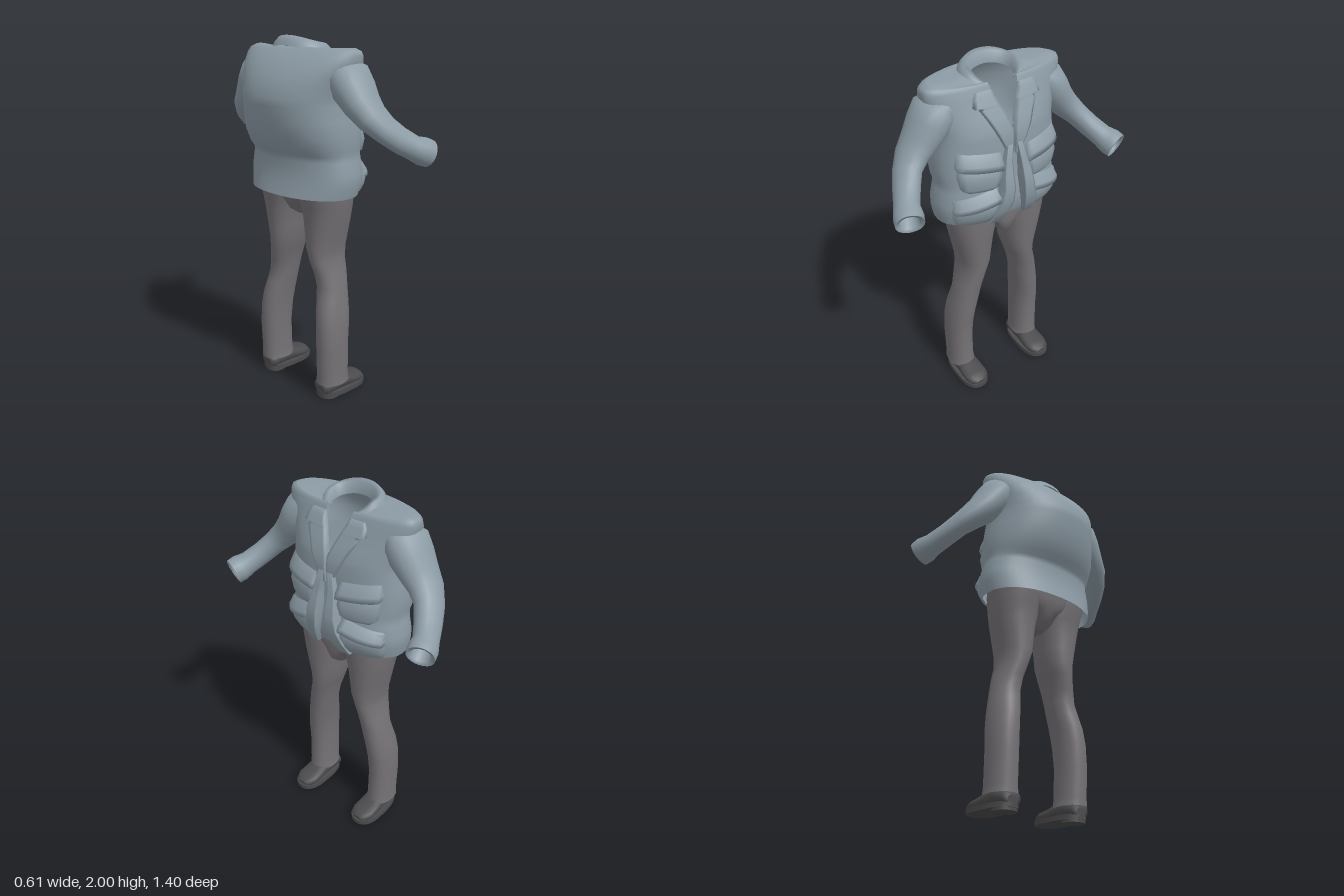
import * as THREE from 'three';

const V = (x, y, z) => new THREE.Vector3(x, y, z);
const jacketMat = new THREE.MeshStandardMaterial({ color: 0x8c9ba5, side: THREE.DoubleSide });
jacketMat.name = 'blueGreyCloth';
const trouserMat = new THREE.MeshStandardMaterial({ color: 0x757276, side: THREE.DoubleSide });
trouserMat.name = 'warmGreyCloth';
const shoeMat = new THREE.MeshStandardMaterial({ color: 0x4b4b4d });
shoeMat.name = 'darkLeather';

// Skin over rows of points; wrap closes each row into a ring
function loft(rows, wrap = true) {
  const n = rows[0].length, pos = [], idx = [];
  rows.forEach(r => r.forEach(p => pos.push(p.x, p.y, p.z)));
  for (let i = 0; i < rows.length - 1; i++) {
    for (let j = 0; j < (wrap ? n : n - 1); j++) {
      const k = (j + 1) % n, a = i * n + j, b = i * n + k;
      idx.push(a, a + n, b, b, a + n, b + n);
    }
  }
  const g = new THREE.BufferGeometry();
  g.setAttribute('position', new THREE.Float32BufferAttribute(pos, 3));
  g.setIndex(idx);
  g.computeVertexNormals();
  return g;
}
const flip = rows => rows.map(r => r.map(p => V(p.x, p.y, -p.z)).reverse());
// Close both ends, doubling the end rings so the edge stays crisp
function capped(rows) {
  const mid = r => {
    const c = r.reduce((s, p) => s.add(p), V(0, 0, 0)).divideScalar(r.length);
    return r.map(() => c.clone());
  };
  const a = rows[0], b = rows[rows.length - 1];
  return [mid(a), a, ...rows, b, mid(b)];
}
const pw = (v, e) => Math.sign(v) * Math.abs(v) ** e;

// Level closed cross-section with its own front and back squareness
function section(y, xb, xf, hz, { zc = 0, cx = 0, nf = 2.5, nb = 2.2, seg = 32 } = {}) {
  return Array.from({ length: seg }, (_, j) => {
    const t = j / seg * Math.PI * 2, c = Math.cos(t), e = 2 / (c > 0 ? nf : nb);
    return V(cx + pw(c, e) * (c > 0 ? xf - cx : cx - xb), y, zc + pw(Math.sin(t), e) * hz);
  });
}
// Jacket cross-section, open at the front by a half gap; the front may dip
function coatRow([y, xb, xf, hz, gap = 0, drop = 0]) {
  const seg = 48, g = Math.asin((gap / hz) ** 1.25);
  return Array.from({ length: seg + 1 }, (_, j) => {
    const t = g + j / seg * (Math.PI - g) * 2, c = Math.cos(t), e = 2 / (c > 0 ? 2.5 : 2.2);
    return V(pw(c, e) * (c > 0 ? xf : -xb), y - drop * Math.max(0, c) ** 1.3, pw(Math.sin(t), e) * hz);
  });
}

// Jacket body: height, back x, front x, half width, half gap, front dip
const BODY = [
  [1.175, -0.213, 0.18, 0.342, 0, -0.02], [1.24, -0.197, 0.20, 0.358], [1.30, -0.187, 0.21, 0.36],
  [1.37, -0.187, 0.205, 0.344], [1.40, -0.195, 0.20, 0.34], [1.425, -0.227, 0.195, 0.345],
  [1.50, -0.268, 0.19, 0.352], [1.58, -0.292, 0.19, 0.345], [1.66, -0.307, 0.185, 0.335, 0],
  [1.70, -0.308, 0.178, 0.338, 0.004], [1.76, -0.292, 0.155, 0.352, 0.028], [1.81, -0.265, 0.133, 0.372, 0.05],
  [1.86, -0.23, 0.115, 0.39, 0.07], [1.905, -0.185, 0.10, 0.396, 0.08], [1.93, -0.15, 0.09, 0.387, 0.085, 0.01],
  [1.945, -0.13, 0.085, 0.35, 0.085, 0.025], [1.935, -0.125, 0.085, 0.25, 0.085, 0.025],
  [1.94, -0.115, 0.085, 0.165, 0.08, 0.035], [1.935, -0.095, 0.08, 0.135, 0.075, 0.03],
];
// Front x of the jacket at a height and side position
function frontX(y, z) {
  let i = 0;
  while (i < 13 && BODY[i + 1][0] < y) i++;
  const a = BODY[i], b = BODY[i + 1], f = THREE.MathUtils.clamp((y - a[0]) / (b[0] - a[0]), 0, 1);
  const xf = a[2] + (b[2] - a[2]) * f, hz = a[3] + (b[3] - a[3]) * f;
  return xf * Math.max(0, 1 - Math.min(1, Math.abs(z) / hz) ** 2.5) ** 0.4;
}
// Raised cloth patch on the chest; each row is [y, inner z, outer z, lift]
function patch(list, tilt = 0) {
  const cols = 8, rows = [];
  const row = ([y, z0, z1, lift], flat) => Array.from({ length: cols + 3 }, (_, j) => {
    const f = THREE.MathUtils.clamp((j - 1) / cols, 0, 1), z = z0 + (z1 - z0) * f;
    const edge = flat || j === 0 || j === cols + 2;
    const yy = y + tilt * f;
    return V(frontX(yy, z) + (edge ? -0.008 : lift), yy, z);
  });
  rows.push(row(list[0], true));
  list.forEach(r => rows.push(row(r, false)));
  rows.push(row(list[list.length - 1], true));
  return rows;
}

// Rings square to a path; each station is x, y, z, forward radius, cross radius
function sleeveRows(st, seg = 20) {
  return st.map((s, i) => {
    const a = st[Math.max(0, i - 1)], b = st[Math.min(st.length - 1, i + 1)];
    const t = V(b[0] - a[0], b[1] - a[1], b[2] - a[2]).normalize();
    const u = V(1, 0, 0).addScaledVector(t, -t.x).normalize();
    const v = u.clone().cross(t);
    return Array.from({ length: seg }, (_, j) => {
      const q = j / seg * Math.PI * 2;
      return V(s[0], s[1], s[2]).addScaledVector(u, Math.cos(q) * s[3]).addScaledVector(v, Math.sin(q) * s[4]);
    });
  });
}

export function createModel() {
  const model = new THREE.Group();
  const add = (name, geo, mat) => {
    const m = new THREE.Mesh(geo, mat);
    m.name = name;
    model.add(m);
  };
  const pair = (name, rows, mat, wrap = true) => {
    add('left' + name, loft(rows, wrap), mat);
    add('right' + name, loft(flip(rows), wrap), mat);
  };

  // Jacket body and folded collar, open in a V at the chest
  add('jacketBody', loft(BODY.map(r => coatRow(r)), false), jacketMat);
  const collar = [[1.93, -0.152, 0.115, 0.182, 0.10, 0.03], [1.96, -0.14, 0.11, 0.17, 0.096, 0.045],
    [1.985, -0.118, 0.10, 0.148, 0.088, 0.065], [1.98, -0.09, 0.092, 0.125, 0.078, 0.065],
    [1.92, -0.08, 0.085, 0.112, 0.072, 0.03]];
  add('collar', loft(collar.map(r => coatRow(r).map(p =>
    V(p.x, p.y - p.x * 0.13 - p.z * p.z, p.z))), false), jacketMat);

  // Lapels, front edges and pockets
  pair('Lapel', patch([[1.56, 0.008, 0.03, 0.015], [1.64, 0.006, 0.07, 0.022], [1.70, 0.006, 0.10, 0.024],
    [1.76, 0.027, 0.13, 0.024], [1.81, 0.048, 0.16, 0.022], [1.82, 0.052, 0.15, 0.022],
    [1.825, 0.054, 0.19, 0.022], [1.865, 0.072, 0.18, 0.016], [1.89, 0.078, 0.165, 0.01]]), jacketMat, false);
  pair('FrontEdge', patch([[1.172, 0.075, 0.14, 0.015], [1.25, 0.05, 0.125, 0.035], [1.32, 0.035, 0.105, 0.05],
    [1.40, 0.028, 0.09, 0.06], [1.47, 0.028, 0.08, 0.05], [1.53, 0.025, 0.065, 0.035],
    [1.62, 0.012, 0.045, 0.022]]), jacketMat, false);
  pair('ChestPocket', patch([[1.39, 0.13, 0.25, 0.008], [1.41, 0.10, 0.28, 0.022],
    [1.47, 0.085, 0.293, 0.033], [1.53, 0.085, 0.293, 0.015]]), jacketMat, false);
  pair('ChestPocketFlap', patch([[1.50, 0.075, 0.30, 0.042], [1.53, 0.075, 0.30, 0.036],
    [1.585, 0.08, 0.29, 0.006]], 0.025), jacketMat, false);
  pair('HipPocket', patch([[1.19, 0.14, 0.30, 0.01], [1.23, 0.12, 0.318, 0.022],
    [1.29, 0.11, 0.32, 0.032], [1.34, 0.11, 0.315, 0.015]]), jacketMat, false);
  pair('HipPocketFlap', patch([[1.325, 0.10, 0.322, 0.042], [1.35, 0.10, 0.32, 0.036],
    [1.395, 0.11, 0.31, 0.006]], -0.05), jacketMat, false);

  // Sleeves, bent forward, with the cuff turned inside
  pair('Sleeve', sleeveRows([
    [-0.015, 1.845, 0.28, 0.10, 0.06], [-0.012, 1.805, 0.325, 0.13, 0.10], [-0.008, 1.742, 0.365, 0.127, 0.10],
    [-0.003, 1.675, 0.415, 0.112, 0.086], [0.01, 1.614, 0.47, 0.098, 0.073], [0.05, 1.557, 0.522, 0.083, 0.062],
    [0.11, 1.505, 0.562, 0.075, 0.06], [0.18, 1.458, 0.602, 0.066, 0.062], [0.23, 1.437, 0.622, 0.075, 0.073],
    [0.265, 1.423, 0.634, 0.072, 0.07],
  ]), jacketMat);
  const rim = sleeveRows([[0.18, 1.458, 0.602, 0.05, 0.05], [0.265, 1.423, 0.634, 0.072, 0.07]]);
  const inner = sleeveRows([[0.18, 1.458, 0.602, 0.042, 0.042], [0.258, 1.425, 0.632, 0.052, 0.05]]);
  pair('CuffLining', [rim[1], inner[1], inner[0]], jacketMat);

  // Trousers: seat and legs
  add('trouserSeat', loft(capped([[1.04, -0.04, 0.12, 0.035], [1.07, -0.09, 0.16, 0.065],
    [1.13, -0.125, 0.175, 0.11], [1.19, -0.15, 0.175, 0.26], [1.30, -0.16, 0.17, 0.30]]
    .map(r => section(...r)))), trouserMat);
  const leg = [ // height, back x, front x, inner z, outer z
    [0.085, -0.10, 0.10, 0.155, 0.312], [0.13, -0.10, 0.095, 0.162, 0.308], [0.30, -0.108, 0.09, 0.163, 0.31],
    [0.42, -0.107, 0.10, 0.158, 0.307], [0.51, -0.098, 0.11, 0.148, 0.295], [0.58, -0.08, 0.115, 0.135, 0.282],
    [0.65, -0.065, 0.12, 0.123, 0.268], [0.72, -0.075, 0.13, 0.112, 0.252], [0.80, -0.095, 0.14, 0.09, 0.23],
    [0.87, -0.102, 0.147, 0.064, 0.235], [0.95, -0.107, 0.153, 0.054, 0.252], [1.04, -0.113, 0.16, 0.04, 0.272],
    [1.12, -0.125, 0.165, 0.02, 0.288], [1.20, -0.15, 0.168, 0.01, 0.30], [1.28, -0.155, 0.165, 0.01, 0.305]];
  pair('TrouserLeg', leg.map(([y, b, f, i, o]) =>
    section(y, b, f, (o - i) / 2, { zc: (o + i) / 2, cx: (b + f) / 2, nf: 2.2 })), trouserMat);

  // Shoes: rounded upper, flat sole and heel
  const upper = [[-0.092, 0.03, 0.075], [-0.08, 0.06, 0.10], [0, 0.066, 0.125], [0.07, 0.066, 0.112],
    [0.12, 0.07, 0.095], [0.17, 0.071, 0.086], [0.205, 0.056, 0.076], [0.225, 0.03, 0.058]];
  pair('ShoeUpper', capped(upper.map(([x, w, top]) => Array.from({ length: 20 }, (_, j) => {
    const t = j / 20 * Math.PI * 2, h = (top - 0.025) / 2;
    return V(x, 0.025 + h + pw(Math.cos(t), 0.85) * h, 0.228 - pw(Math.sin(t), 0.85) * w);
  }))), shoeMat);
  pair('ShoeSole', capped([0.014, 0.04].map(y =>
    section(y, -0.095, 0.237, 0.083, { zc: 0.228, cx: 0.11, nf: 2.3, nb: 2.8 }))), shoeMat);
  pair('ShoeHeel', capped([0, 0.025].map(y =>
    section(y, -0.09, 0.01, 0.062, { zc: 0.228, cx: -0.03, nf: 4, nb: 2.3 }))), shoeMat);
  return model;
}
